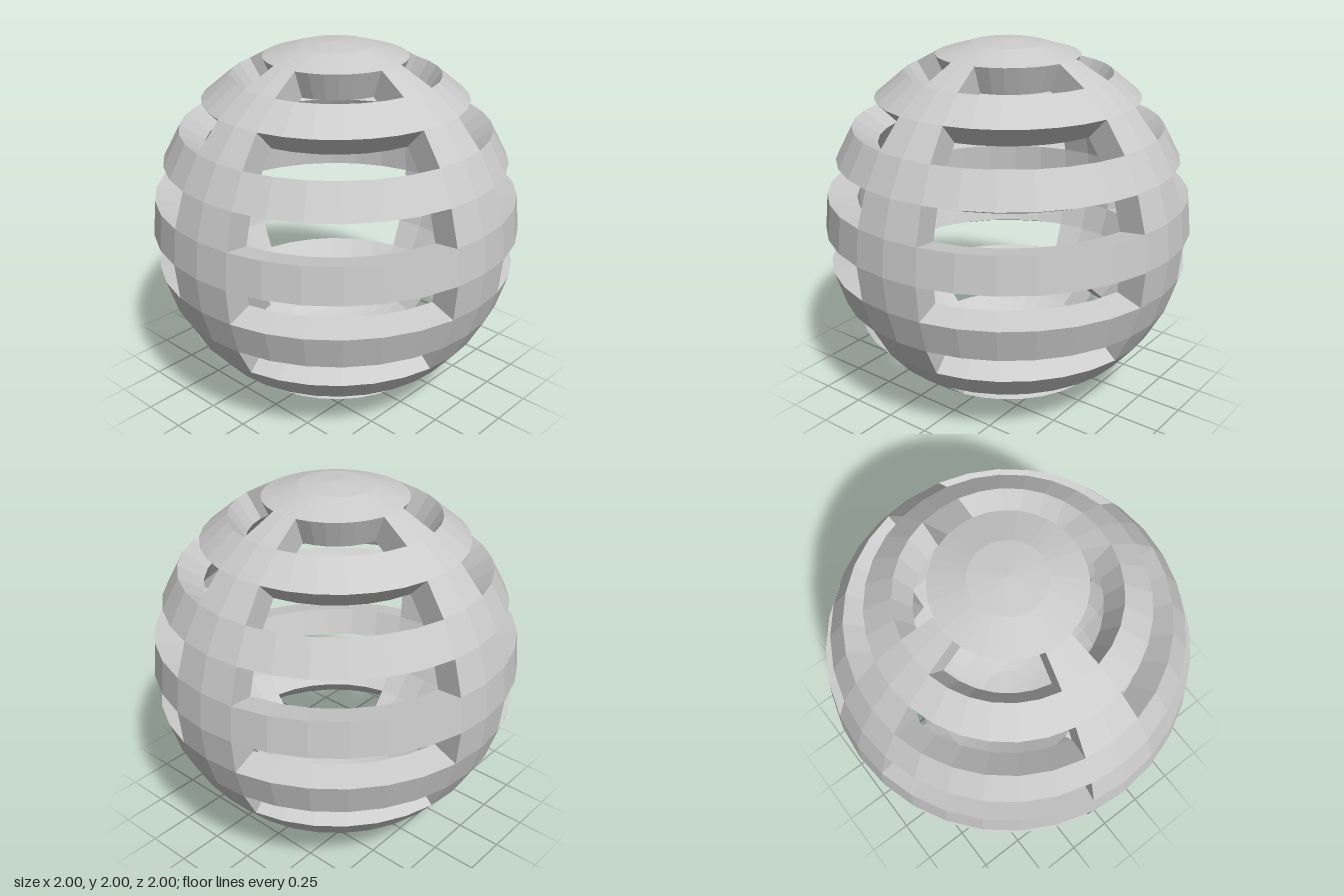
import * as THREE from 'three';

const ROWS = 16, COLS = 32;      // latitude bands and longitude segments
const OUTER = 1, INNER = 0.84;   // shell radii

const wrap = (j) => (j + COLS) % COLS;
const isSlotRow = (i) => i >= 2 && i <= 12 && i % 2 === 0;
const isPillarCol = (j) => wrap(j) % 8 === 0 || wrap(j) % 8 === 7;
const isSolid = (i, j) => !isSlotRow(i) || isPillarCol(j);

function point(r, i, j) {
  const theta = (i * Math.PI) / ROWS, phi = (j * 2 * Math.PI) / COLS;
  const s = i === 0 || i === ROWS ? 0 : Math.sin(theta);
  return [r * s * Math.sin(phi), r * Math.cos(theta), r * s * Math.cos(phi)];
}

// Thick piece of the shell, walled only where it borders a slot
function shellPiece(name, rows, cols, material) {
  const pos = [];
  const quad = (a, b, c, d) => pos.push(...a, ...b, ...c, ...a, ...c, ...d);
  for (const i of rows) {
    for (const j of cols) {
      const [o00, o10, o11, o01] = [[i, j], [i + 1, j], [i + 1, j + 1], [i, j + 1]].map((c) => point(OUTER, ...c));
      const [n00, n10, n11, n01] = [[i, j], [i + 1, j], [i + 1, j + 1], [i, j + 1]].map((c) => point(INNER, ...c));
      if (i === 0) {
        pos.push(...o00, ...o10, ...o11, ...n00, ...n11, ...n10);
      } else if (i === ROWS - 1) {
        pos.push(...o00, ...o10, ...o01, ...n00, ...n01, ...n10);
      } else {
        quad(o00, o10, o11, o01);
        quad(n00, n01, n11, n10);
      }
      if (i > 0 && !isSolid(i - 1, j)) quad(o00, o01, n01, n00);
      if (i < ROWS - 1 && !isSolid(i + 1, j)) quad(o10, n10, n11, o11);
      if (!isSolid(i, j + 1)) quad(o01, o11, n11, n01);
      if (!isSolid(i, j - 1)) quad(o00, n00, n10, o10);
    }
  }
  const geometry = new THREE.BufferGeometry();
  geometry.setAttribute('position', new THREE.Float32BufferAttribute(pos, 3));
  geometry.computeVertexNormals();
  const mesh = new THREE.Mesh(geometry, material);
  mesh.name = name;
  return mesh;
}

export function createModel() {
  const model = new THREE.Group();
  model.name = 'slottedSphere';
  const material = new THREE.MeshStandardMaterial({ color: 0xcccccc, flatShading: true });
  const allCols = Array.from({ length: COLS }, (_, j) => j);
  const add = (name, rows, cols) => model.add(shellPiece(name, rows, cols, material));

  // Closed caps
  add('topCap', [0, 1], allCols);
  add('bottomCap', [13, 14, 15], allCols);

  // Horizontal rings between the slots
  for (let i = 3; i <= 11; i += 2) add(`ring${(i - 1) / 2}`, [i], allCols);

  // Upright ribs crossing the slots on the four sides
  const slotRows = [2, 4, 6, 8, 10, 12];
  ['frontRib', 'leftRib', 'backRib', 'rightRib'].forEach((name, k) => add(name, slotRows, [k * 8 - 1, k * 8]));

  model.position.y = 1;
  const root = new THREE.Group();
  root.add(model);
  return root;
}
